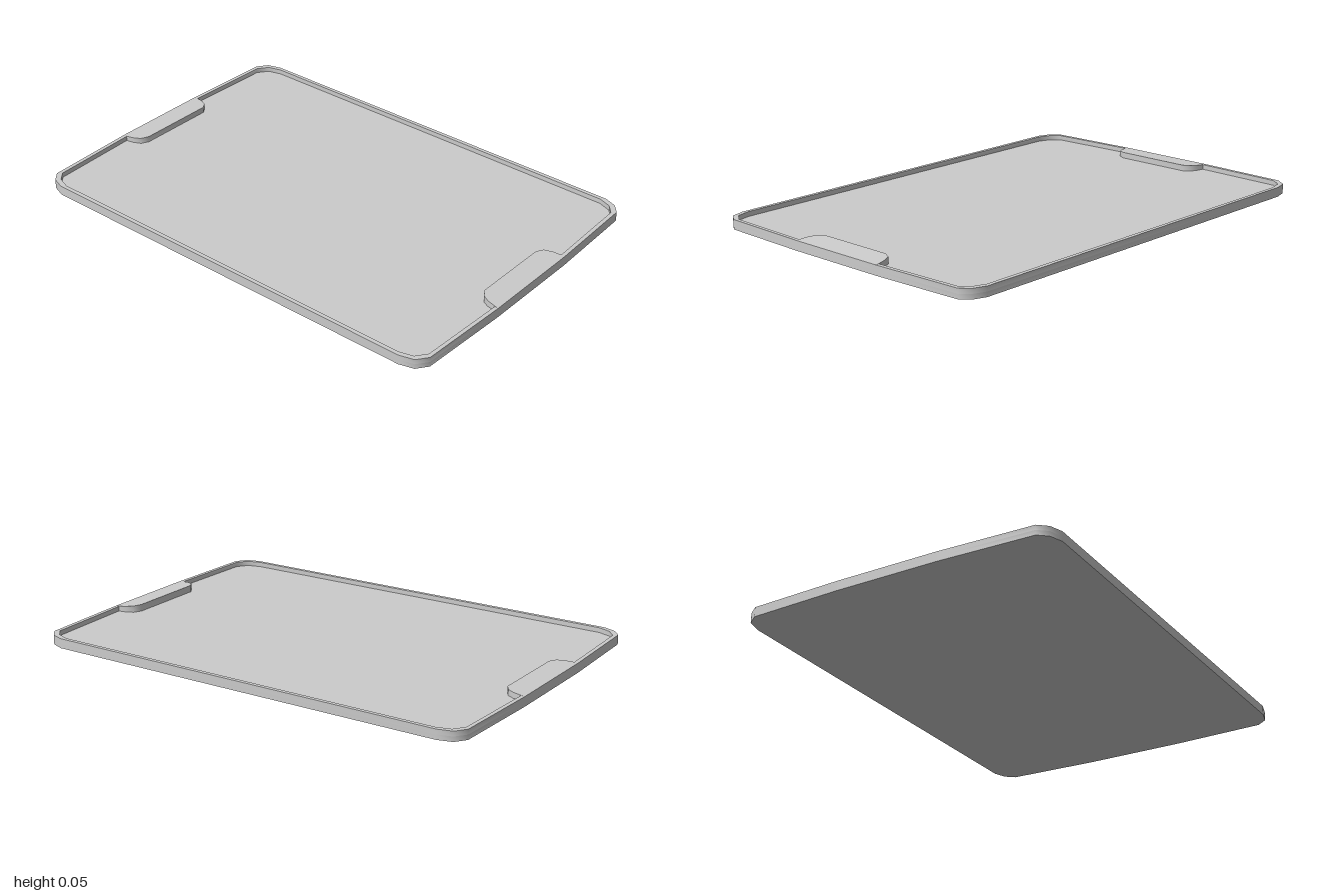
import * as THREE from 'three';
import { toCreasedNormals } from 'three/addons/utils/BufferGeometryUtils.js';

const RIM = 0.04, FLOOR = 0.02;

// Half of the slightly skewed, bowed outline (x, z); the other half is its half-turn
const HALF = [
  [-0.735, -0.81], [-0.72, -0.865], [-0.685, -0.9], [-0.295, -0.947],
  [0.137, -0.982], [0.524, -1], [0.571, -0.971], [0.592, -0.913],
];
const OUTER = [...HALF, ...HALF.map(([x, z]) => [-x, -z])];

// Grip tab, from the outer edge inwards
const TAB = [
  [-0.295, -0.947], [-0.295, -0.934], [-0.286, -0.9], [-0.268, -0.868], [-0.235, -0.855],
  [0.095, -0.881], [0.121, -0.902], [0.132, -0.93], [0.137, -0.982],
];

const points = (list, sx = 1, sz = 1) => list.map(([x, z]) => new THREE.Vector2(x * sx, z * sz));

// Upright prism over an (x, z) shape between two heights
function prism(shape, bottom, top) {
  return new THREE.ExtrudeGeometry(shape, { depth: top - bottom, bevelEnabled: false })
    .rotateX(Math.PI / 2).translate(0, top, 0);
}

export function createModel() {
  const group = new THREE.Group();
  const material = new THREE.MeshStandardMaterial({ color: 0xcccccc });
  const add = (name, geometry) => {
    const mesh = new THREE.Mesh(toCreasedNormals(geometry, 0.8), material);
    mesh.name = name;
    group.add(mesh);
    return mesh;
  };

  // Base plate
  add('trayFloor', prism(new THREE.Shape(points(OUTER)), 0, FLOOR));

  // Thin raised rim
  const rim = new THREE.Shape(points(OUTER));
  rim.holes.push(new THREE.Path(points(OUTER, 0.975, 0.983)));
  add('rim', prism(rim, FLOOR, RIM));

  // Tabs at both ends, tops rising towards the middle
  const addTab = (name, rise, turn) => {
    const geometry = prism(new THREE.Shape(points(TAB)), FLOOR, RIM);
    const p = geometry.attributes.position;
    for (let i = 0; i < p.count; i++) {
      if (p.getY(i) < RIM - 0.001) continue;
      const edge = -0.947 - 0.081 * (p.getX(i) + 0.295);
      const t = THREE.MathUtils.clamp((p.getZ(i) - edge) / 0.097, 0, 1);
      p.setY(i, RIM + rise * t);
    }
    add(name, geometry).rotation.y = turn;
  };
  addTab('backTab', 0.005, 0);
  addTab('frontTab', 0.009, Math.PI);

  return group;
}
